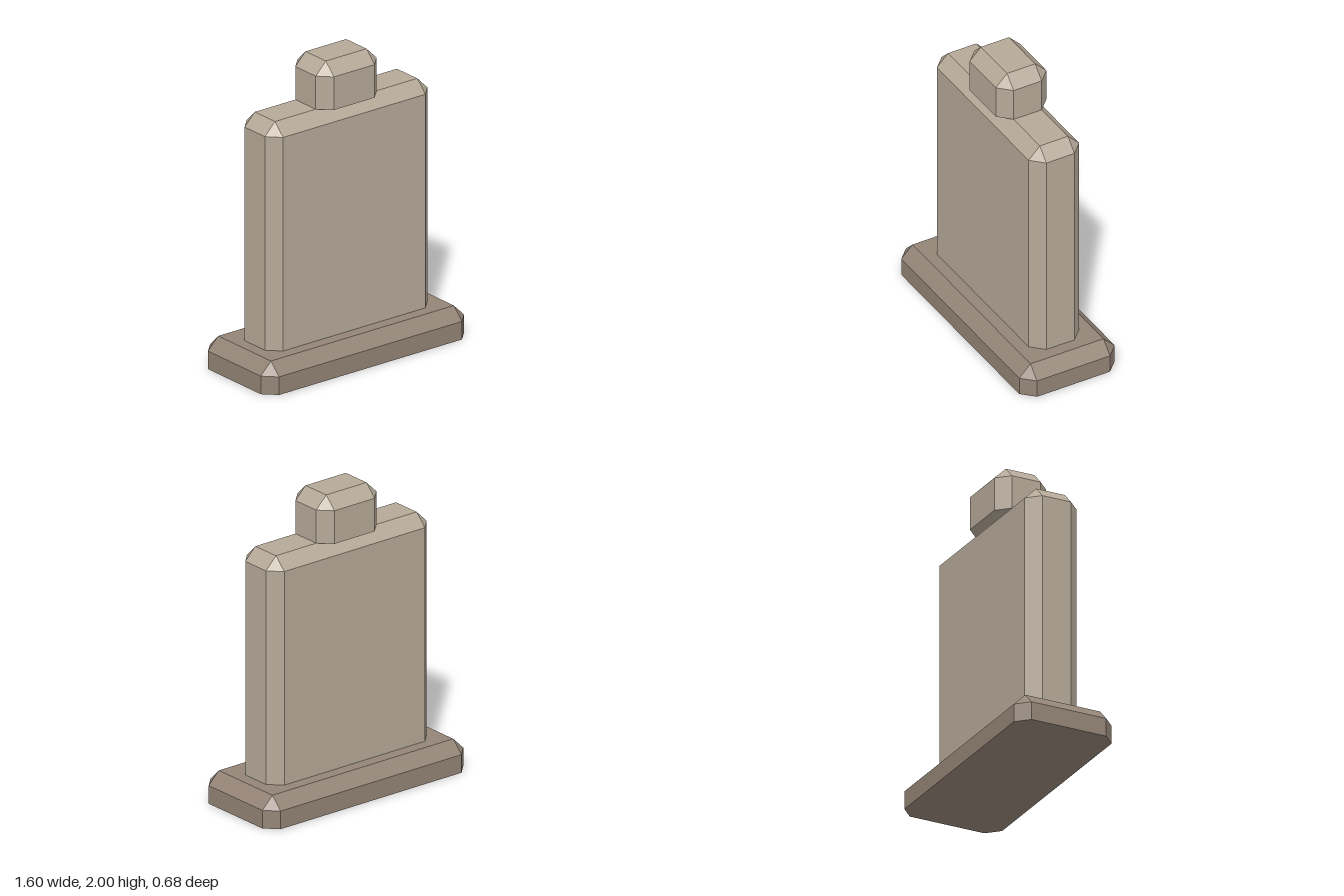
import * as THREE from 'three';
import { ConvexGeometry } from 'three/addons/geometries/ConvexGeometry.js';

const CHAMFER = 0.08;

// Block with bevelled upright and top edges, flat at the bottom.
function bevelledBlock(name, halfX, halfZ, bottom, top, material) {
  const points = [];
  const c = CHAMFER;
  for (const sx of [-1, 1]) {
    for (const sz of [-1, 1]) {
      for (const y of [bottom, top - c]) {
        points.push(new THREE.Vector3(sx * halfX, y, sz * (halfZ - c)));
        points.push(new THREE.Vector3(sx * (halfX - c), y, sz * halfZ));
      }
      points.push(new THREE.Vector3(sx * (halfX - c), top, sz * (halfZ - c)));
    }
  }
  const mesh = new THREE.Mesh(new ConvexGeometry(points), material);
  mesh.name = name;
  return mesh;
}

export function createModel() {
  const lightStone = new THREE.MeshStandardMaterial({ color: 0xb5a998 });
  lightStone.name = 'light stone';
  const darkStone = new THREE.MeshStandardMaterial({ color: 0x938476 });
  darkStone.name = 'dark stone';

  const model = new THREE.Group();
  model.name = 'gravestone';
  model.add(
    bevelledBlock('base', 0.8, 0.34, 0, 0.2, darkStone),
    // The slab is sunk into the base
    bevelledBlock('slab', 0.64, 0.18, 0.02, 1.7, lightStone),
    bevelledBlock('topBlock', 0.24, 0.18, 1.7, 2, lightStone)
  );
  return model;
}
